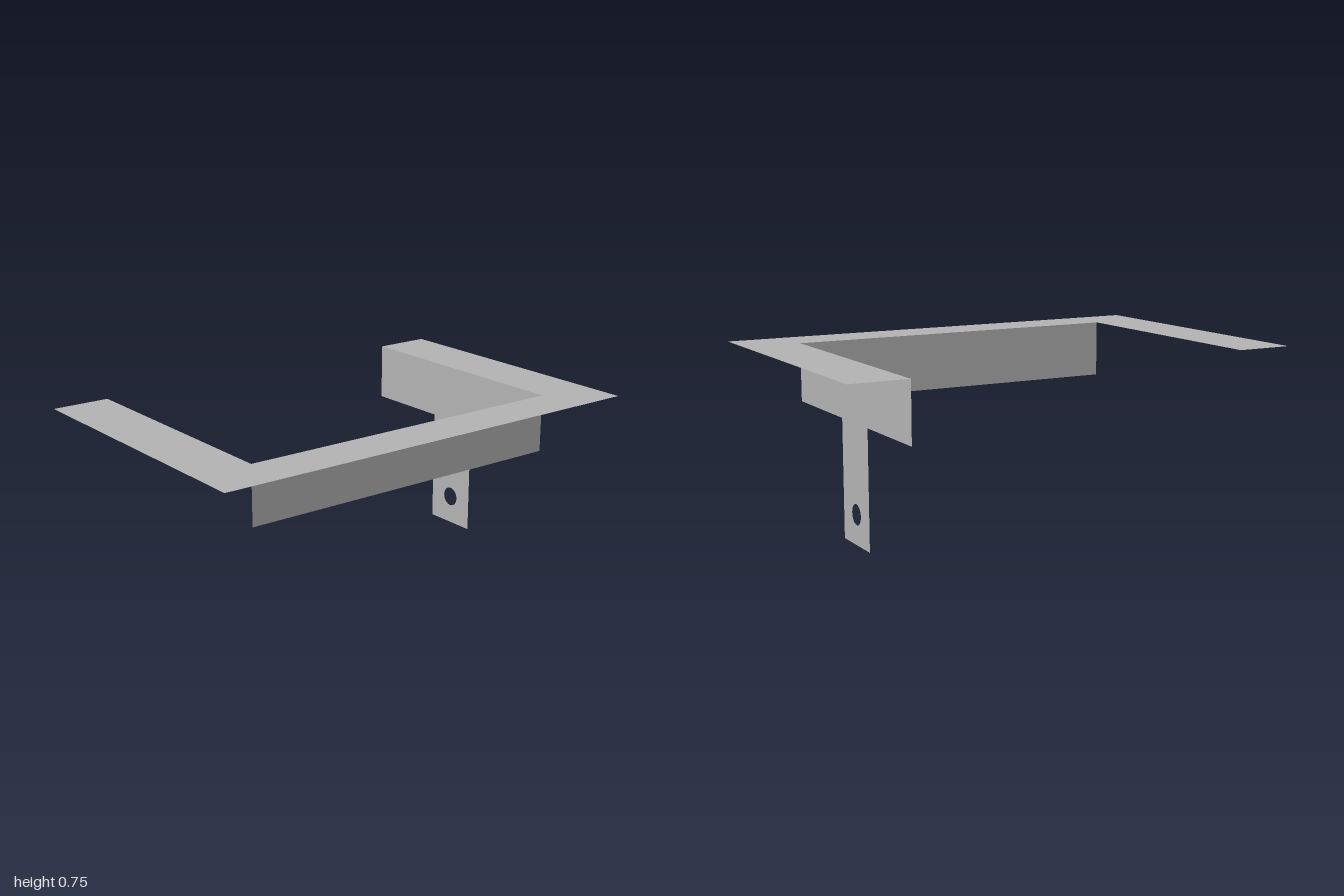
import * as THREE from 'three';

export function createModel() {
  const group = new THREE.Group();
  const sheetGrey = new THREE.MeshStandardMaterial({ color: 0xb2b2b2, side: THREE.DoubleSide });
  sheetGrey.name = 'sheet grey';

  const top = 0.75, wallBottom = 0.5;    // heights of the folded sheet
  const inner = 0.75, outer = 1;         // flange edges in x
  const front = 0.645, fold = 0.44, back = -0.645;

  const outline = (points) => new THREE.Shape(points.map(([x, y]) => new THREE.Vector2(x, y)));
  const addSheet = (name, geometry) => {
    const mesh = new THREE.Mesh(geometry, sheetGrey);
    mesh.name = name;
    group.add(mesh);
  };

  // U-shaped top flange, drawn as (x, -z) and laid flat
  const flange = outline([
    [-outer, -front], [outer, -front], [outer, -back], [inner, -back],
    [inner, -fold], [-inner, -fold], [-inner, -back], [-outer, -back],
  ]);
  addSheet('topFlange', new THREE.ShapeGeometry(flange).rotateX(-Math.PI / 2).translate(0, top, 0));

  // Front wall folded down from the flange's inner edge
  addSheet('frontWall', new THREE.PlaneGeometry(inner * 2, top - wallBottom)
    .translate(0, (top + wallBottom) / 2, fold));

  // Left wall with a hanging tab and a round hole, drawn as (-z, y)
  const wall = outline([
    [-fold, wallBottom], [0, wallBottom], [0, 0], [0.25, 0],
    [0.25, wallBottom], [-back, wallBottom], [-back, top], [-fold, top],
  ]);
  wall.holes.push(new THREE.Path().absarc(0.125, 0.127, 0.043, 0, Math.PI * 2, true));
  addSheet('leftWallWithTab', new THREE.ShapeGeometry(wall, 24).rotateY(Math.PI / 2).translate(inner, 0, 0));

  return group;
}
